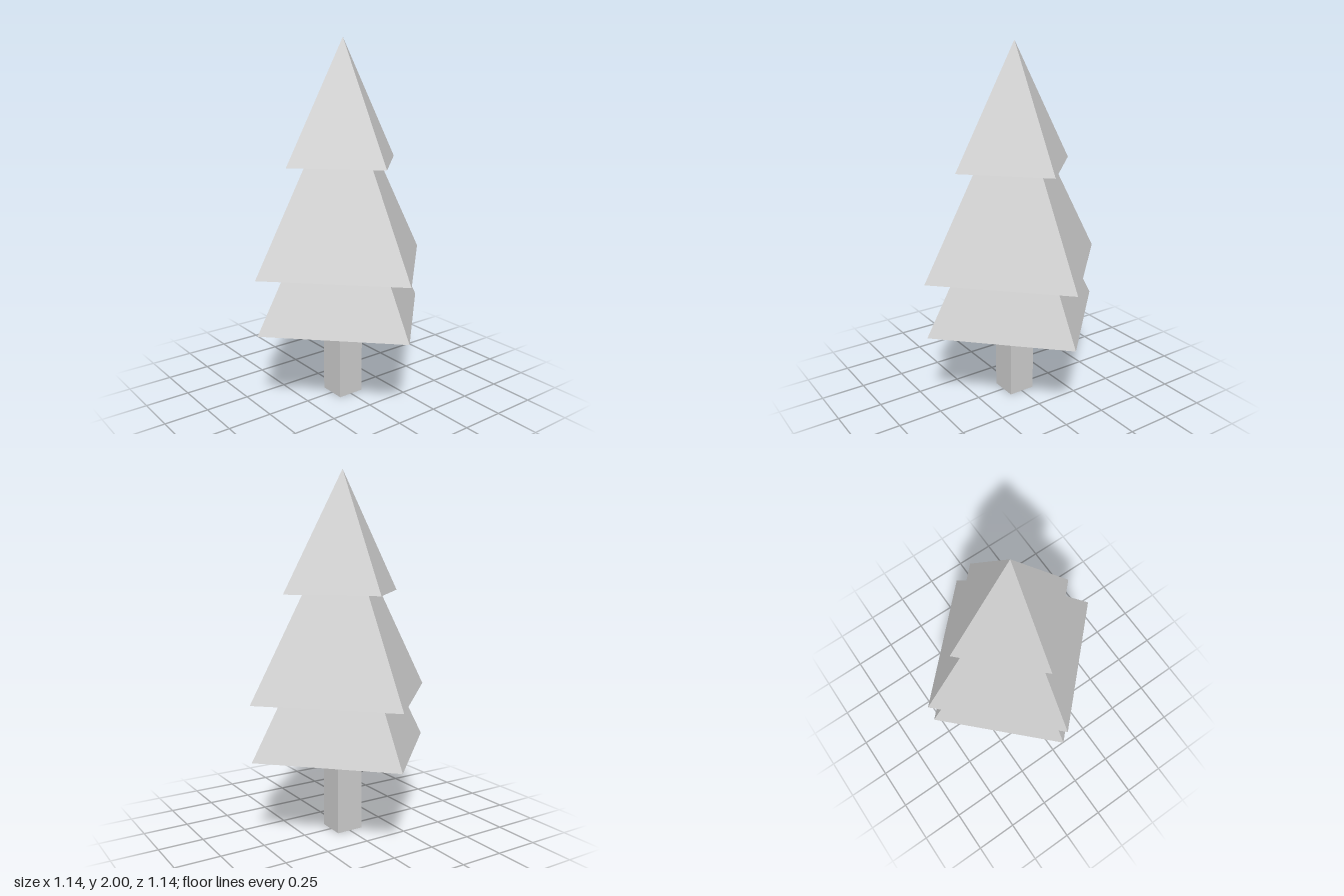
import * as THREE from 'three';

export function createModel() {
  const tree = new THREE.Group();
  tree.name = 'tree';
  const material = new THREE.MeshStandardMaterial({ color: 0xcccccc, flatShading: true });

  // Square trunk
  const trunkHeight = 0.47;
  const trunk = new THREE.Mesh(new THREE.BoxGeometry(0.156, trunkHeight, 0.156), material);
  trunk.name = 'trunk';
  trunk.position.y = trunkHeight / 2;
  tree.add(trunk);

  // Overlapping four-sided foliage tiers, corners on the x and z axes
  const tiers = [
    { name: 'lowerFoliage', base: 0.47, radius: 0.563, height: 1.0 },
    { name: 'middleFoliage', base: 0.778, radius: 0.568, height: 1.013 },
    { name: 'topFoliage', base: 1.345, radius: 0.367, height: 0.655 },
  ];
  for (const { name, base, radius, height } of tiers) {
    const tier = new THREE.Mesh(new THREE.ConeGeometry(radius, height, 4), material);
    tier.name = name;
    tier.position.y = base + height / 2;
    tree.add(tier);
  }
  return tree;
}
